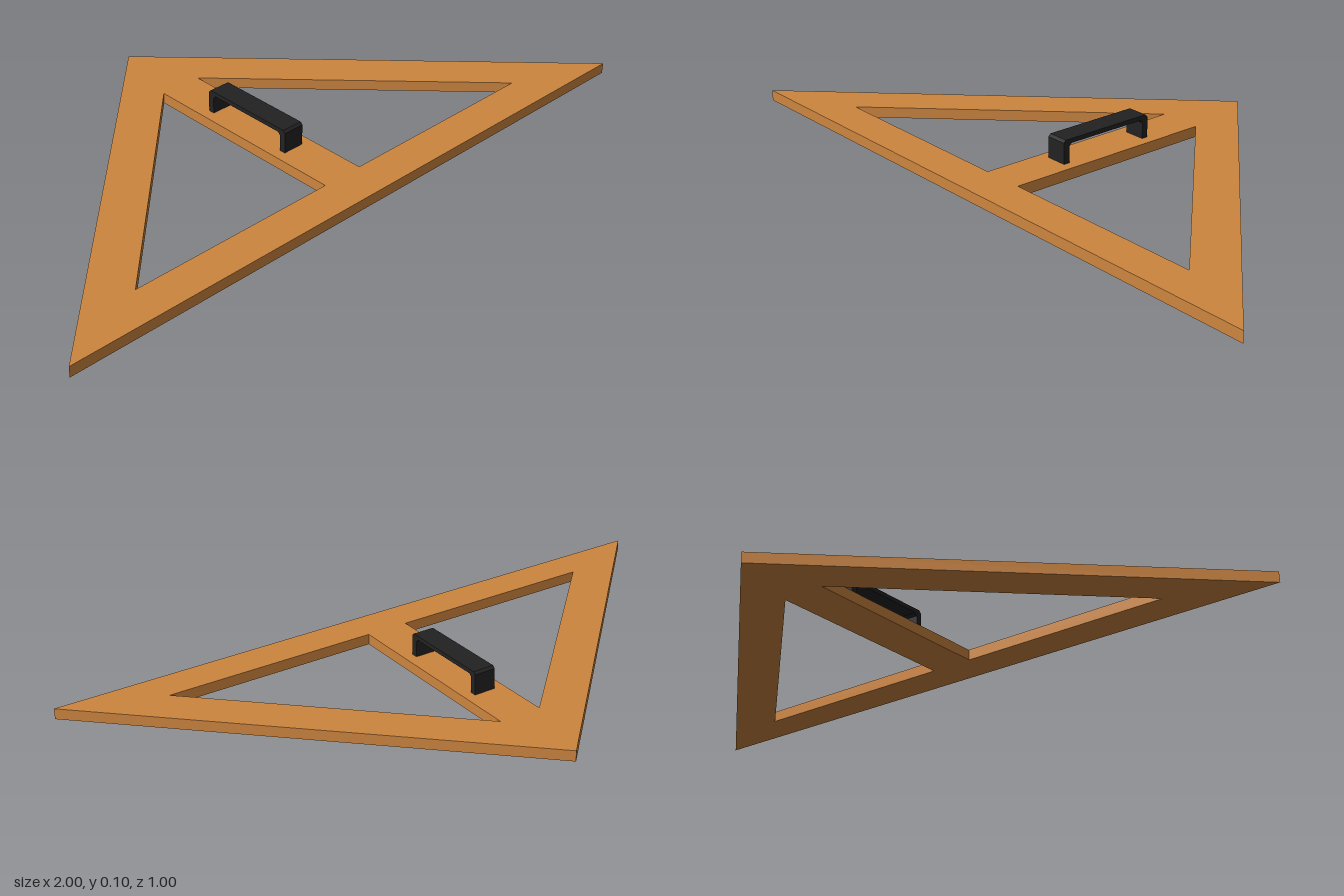
import * as THREE from 'three';

const wood = new THREE.MeshStandardMaterial({ color: 0xcd853f });
wood.name = 'wood';
const black = new THREE.MeshStandardMaterial({ color: 0x222222 });
black.name = 'black plastic';

const THICK = 0.032;
const points = (list) => list.map(([x, y]) => new THREE.Vector2(x, y));

// Triangular board with a mirrored pair of triangular openings
function createBoard() {
  const shape = new THREE.Shape(points([[-1, -0.497], [1, -0.497], [0, 0.5]]));
  for (const s of [-1, 1]) {
    shape.holes.push(new THREE.Path(points([[s * 0.065, 0.263], [s * 0.065, -0.384], [s * 0.712, -0.384]])));
  }
  const geometry = new THREE.ExtrudeGeometry(shape, { depth: THICK, bevelEnabled: false });
  geometry.rotateX(-Math.PI / 2);
  const board = new THREE.Mesh(geometry, wood);
  board.name = 'triangleBoard';
  return board;
}

// Bridge-shaped grip with chamfered corners, profile drawn along z
function createHandle() {
  const half = 0.152, inner = 0.133, top = 0.101, under = 0.088, base = THICK - 0.002;
  const right = [
    [inner, base], [half, base], [half, top - 0.007], [half - 0.007, top],
  ];
  const innerRight = [[inner - 0.008, under], [inner, under - 0.008]];
  const mirror = (list) => list.map(([x, y]) => [-x, y]).reverse();
  const shape = new THREE.Shape(points([...right, ...mirror(right), ...mirror(innerRight), ...innerRight]));
  const width = 0.066;
  const geometry = new THREE.ExtrudeGeometry(shape, { depth: width, bevelEnabled: false });
  geometry.translate(0, 0, -width / 2);
  geometry.rotateY(-Math.PI / 2);
  const handle = new THREE.Mesh(geometry, black);
  handle.name = 'handle';
  handle.position.z = 0.048;
  return handle;
}

export function createModel() {
  const model = new THREE.Group();
  model.name = 'setSquare';
  model.add(createBoard(), createHandle());
  return model;
}
